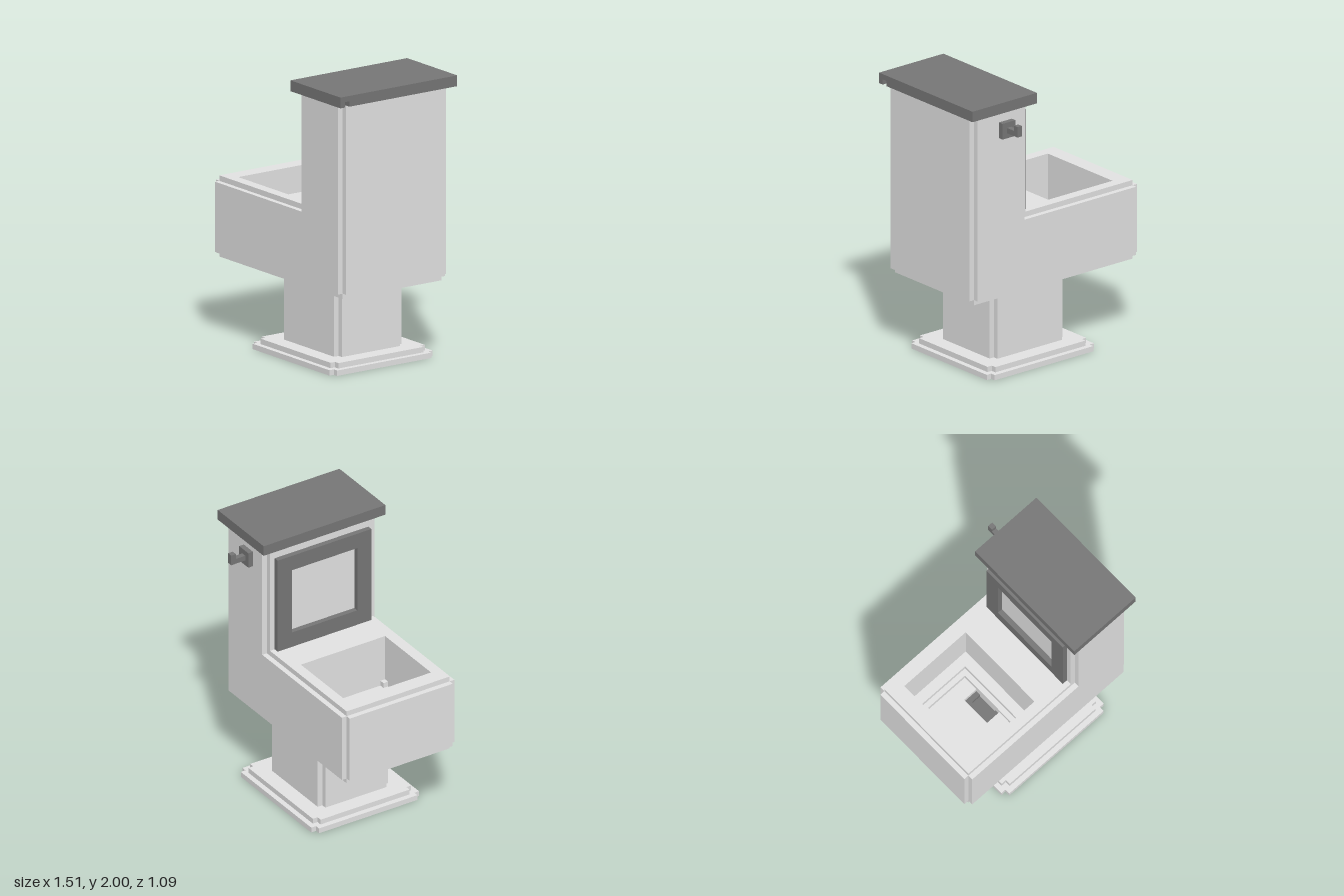
import * as THREE from 'three';

const UNIT = 2 / 53; // one block; all coordinates below count blocks

// Counter-clockwise rectangle [x0, x1, z0, z1], optionally with one-block corner notches
function outline([x0, x1, z0, z1], notched) {
  const pts = notched
    ? [[x0 + 1, z0], [x0 + 1, z0 + 1], [x0, z0 + 1], [x0, z1 - 1], [x0 + 1, z1 - 1], [x0 + 1, z1],
       [x1 - 1, z1], [x1 - 1, z1 - 1], [x1, z1 - 1], [x1, z0 + 1], [x1 - 1, z0 + 1], [x1 - 1, z0]]
    : [[x0, z0], [x0, z1], [x1, z1], [x1, z0]];
  return pts.map(([x, z]) => new THREE.Vector2(x, -z));
}

function extrudeRect(rect, depth, notched, hole) {
  const shape = new THREE.Shape(outline(rect, notched));
  if (hole) shape.holes.push(new THREE.Path(outline(hole, false)));
  return new THREE.ExtrudeGeometry(shape, { depth, bevelEnabled: false });
}

export function createModel() {
  const model = new THREE.Group();
  const ceramic = new THREE.MeshStandardMaterial({ color: 0xe4e4e4 });
  ceramic.name = 'light grey';
  const trim = new THREE.MeshStandardMaterial({ color: 0x777777 });
  trim.name = 'dark grey';

  // Converts blocks to model units, centred on x and z
  function add(name, geo, mat) {
    geo.translate(-20, 0, -14.5).scale(UNIT, UNIT, UNIT);
    const mesh = new THREE.Mesh(geo, mat);
    mesh.name = name;
    model.add(mesh);
  }

  // Horizontal slab from y0 to y1
  function slab(name, rect, y0, y1, mat, notched = false, hole = null) {
    const geo = extrudeRect(rect, y1 - y0, notched, hole);
    add(name, geo.rotateX(-Math.PI / 2).translate(0, y0, 0), mat);
  }

  // Foot and pedestal
  slab('lowerFoot', [10, 35, 4, 27], 0, 1, ceramic, true);
  slab('upperFoot', [11, 34, 5, 26], 1, 2, ceramic, true);
  slab('pedestal', [14, 31, 8, 23], 2, 15, ceramic, true);

  // Body, stacked in layers around the stepped bowl
  const opening = [4, 19, 7, 25];
  const middle = [6, 17, 9, 23];
  const floor = [7, 16, 10, 22];
  const drain = [13, 16, 13, 19];
  slab('bodyUnderside', [1, 38, 5, 27], 15, 16, ceramic);
  [[16, 18, drain], [18, 19, floor], [19, 20, middle], [20, 29, opening]]
    .forEach(([y0, y1, hole]) => slab('bowlBody', [0, 39, 4, 28], y0, y1, ceramic, true, hole));
  slab('bowlRim', [1, 26, 5, 27], 29, 30, ceramic, false, opening);
  slab('bowlCornerBlock', [18, 19, 24, 25], 20, 21, ceramic);

  // Drain in the bowl floor
  slab('drain', drain, 16, 16.3, trim);
  slab('drainEndEdge', [13, 14, 13, 19], 16.3, 17, trim);
  slab('drainSideEdge', [14, 16, 13, 14], 16.3, 17, trim);
  slab('drainSideEdge', [14, 16, 18, 19], 16.3, 17, trim);

  // Tank with a lip that fits a slot in its lid
  slab('tank', [26, 39, 4, 28], 29, 51, ceramic, true);
  slab('tankLip', [27, 38, 27, 28], 51, 52, ceramic);
  slab('tankLidTop', [25, 40, 3, 29], 52, 53, trim);
  slab('tankLidBase', [25, 40, 3, 27], 51, 52, trim);
  slab('tankLidSide', [25, 27, 27, 28], 51, 52, trim);
  slab('tankLidEdge', [25, 40, 28, 29], 51, 52, trim);

  // Raised seat ring resting against the tank
  const seat = extrudeRect([6, 26, -49, -30], 1, false, [9, 23, -46, -33]);
  add('seat', seat.rotateY(-Math.PI / 2).translate(26, 0, 0), trim);

  // Flush lever
  slab('leverPlate', [30, 33, 3, 4], 46, 49, trim);
  slab('leverArm', [31, 32, 0, 3], 47, 48, trim);
  slab('leverTip', [31, 32, 0, 1], 48, 49, trim);

  return model;
}
